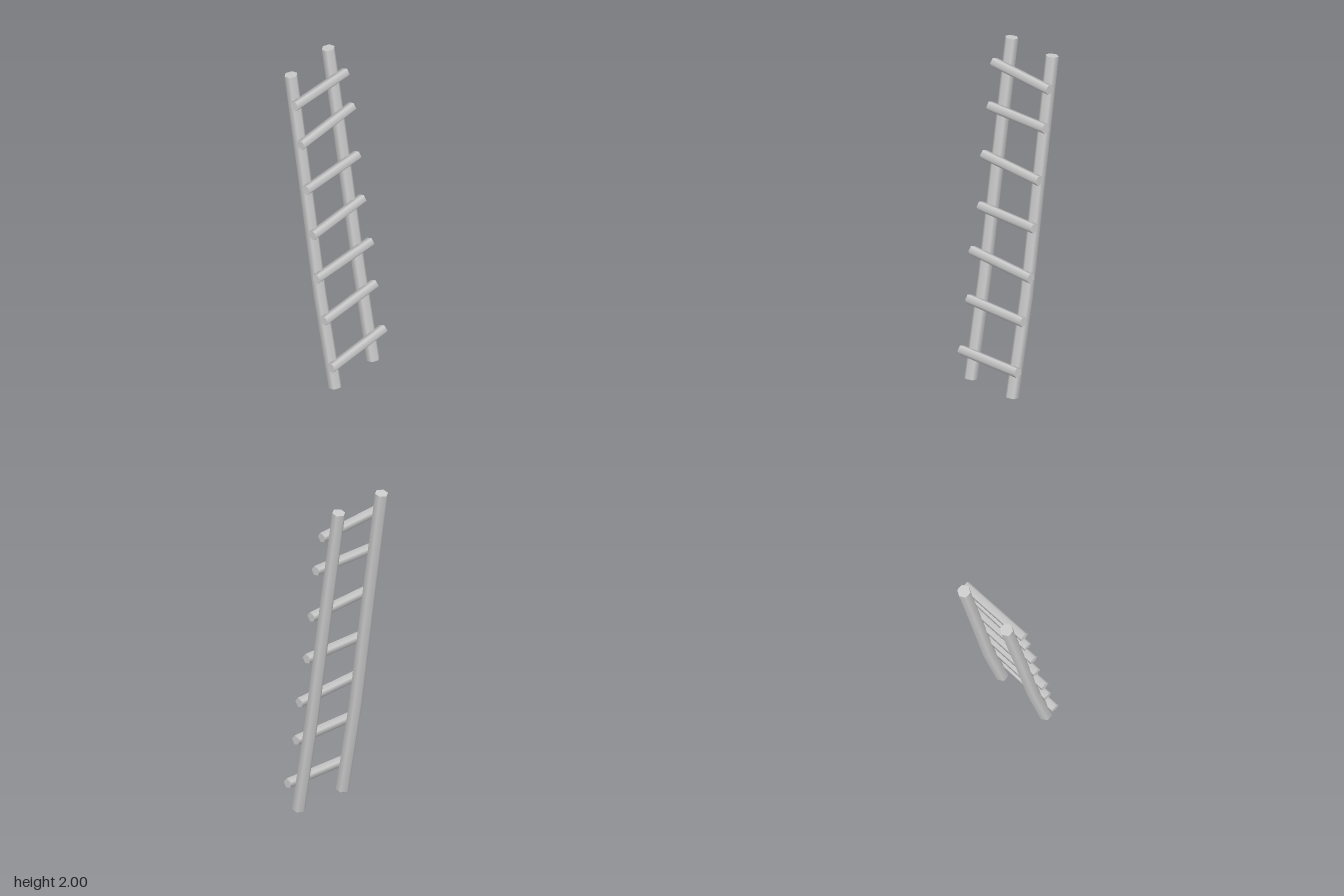
import * as THREE from 'three';

const material = new THREE.MeshStandardMaterial({ color: 0xcccccc });

// Six-sided pole whose cross-sections follow a list of [x, y, z] centres, bottom to top
function makePole(name, points) {
  const rows = points.length - 1;
  const geo = new THREE.CylinderGeometry(0.038, 0.038, rows, 6, rows);
  const centres = points.map((p) => new THREE.Vector3(...p));
  const up = new THREE.Vector3(0, 1, 0);
  const turns = centres.map((c, i) => {
    const dir = centres[Math.min(i + 1, rows)].clone().sub(centres[Math.max(i - 1, 0)]).normalize();
    return new THREE.Quaternion().setFromUnitVectors(up, dir);
  });
  const pos = geo.attributes.position, nor = geo.attributes.normal;
  const v = new THREE.Vector3();
  for (let i = 0; i < pos.count; i++) {
    const row = Math.round(pos.getY(i) + rows / 2);
    v.set(pos.getX(i), 0, pos.getZ(i)).applyQuaternion(turns[row]).add(centres[row]);
    pos.setXYZ(i, v.x, v.y, v.z);
    v.fromBufferAttribute(nor, i).applyQuaternion(turns[row]);
    nor.setXYZ(i, v.x, v.y, v.z);
  }
  const mesh = new THREE.Mesh(geo, material);
  mesh.name = name;
  return mesh;
}

// Five-sided rung between a right end and a left end
function makeRung(name, [x0, y0, x1, y1, z]) {
  const length = Math.hypot(x1 - x0, y1 - y0);
  const geo = new THREE.CylinderGeometry(0.03, 0.03, length, 5);
  geo.rotateZ(-Math.PI / 2);
  const mesh = new THREE.Mesh(geo, material);
  mesh.position.set((x0 + x1) / 2, (y0 + y1) / 2, z);
  mesh.rotation.z = Math.atan2(y1 - y0, x1 - x0);
  mesh.name = name;
  return mesh;
}

export function createModel() {
  const ladder = new THREE.Group();
  ladder.name = 'ladder';

  // Side rails, leaning back with a slight bend low down
  ladder.add(makePole('rightRail', [
    [-0.168, 0.007, 0.151], [-0.17, 0.6, 0.044], [-0.17, 1.3, -0.058], [-0.17, 1.994, -0.162],
  ]));
  ladder.add(makePole('leftRail', [
    [0.167, 0.007, 0.151], [0.17, 0.6, 0.044], [0.164, 1.3, -0.058], [0.158, 1.994, -0.162],
  ]));

  // Uneven rungs fixed to the front of the rails: x0, y0, x1, y1, z
  const rungs = [
    [-0.224, 0.168, 0.233, 0.183, 0.17],
    [-0.22, 0.464, 0.222, 0.472, 0.116],
    [-0.238, 0.742, 0.237, 0.732, 0.074],
    [-0.217, 1.008, 0.22, 1.018, 0.032],
    [-0.229, 1.307, 0.221, 1.297, -0.006],
    [-0.223, 1.592, 0.227, 1.607, -0.047],
    [-0.233, 1.845, 0.217, 1.828, -0.086],
  ];
  rungs.forEach((r, i) => ladder.add(makeRung('rung' + (i + 1), r)));
  return ladder;
}
